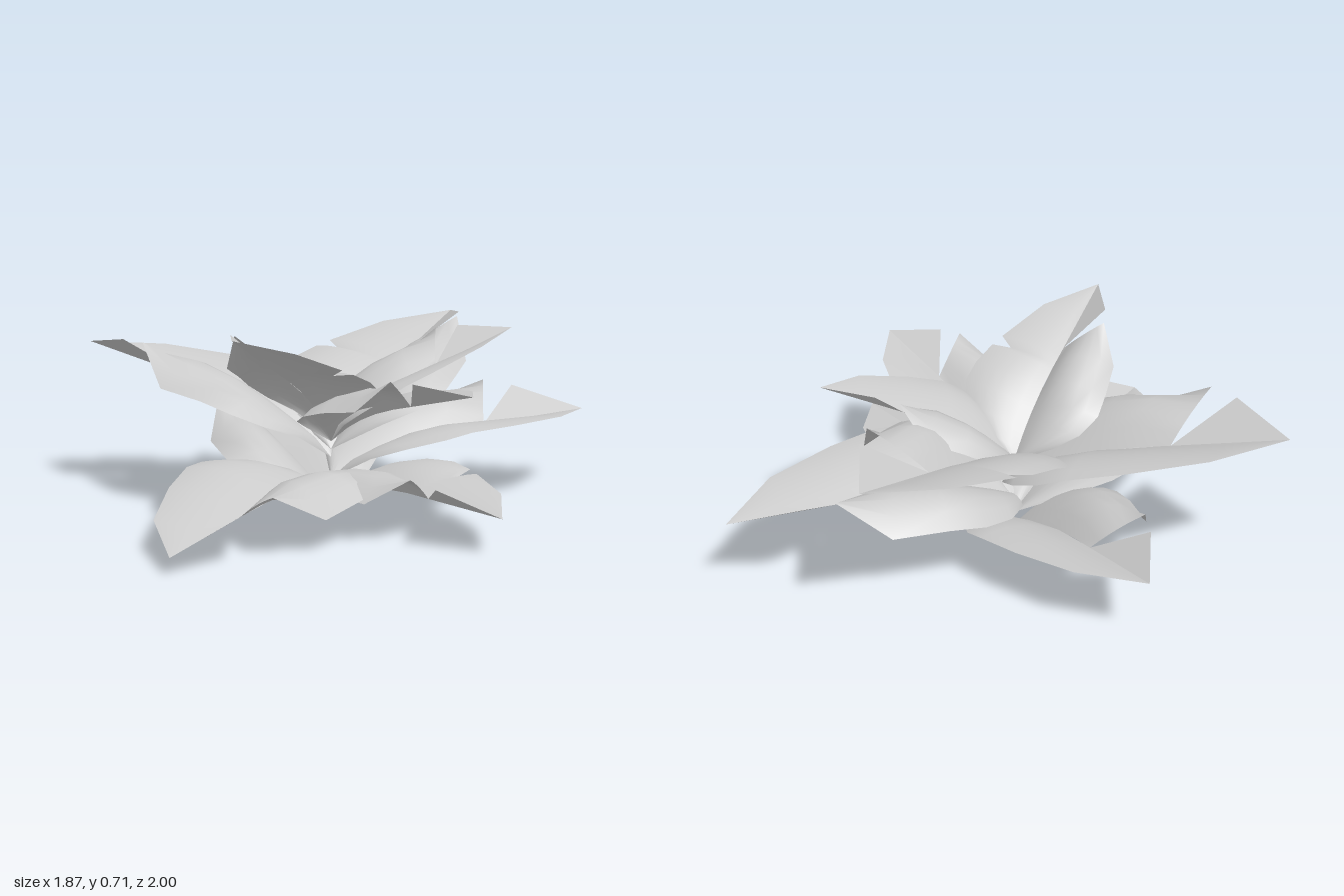
import * as THREE from 'three';

// Height of the midrib above its chord, per unit leaf length
const BOW = [[0, 0], [0.1, 0.03], [0.22, 0.05], [0.4, 0.06], [0.6, 0.04], [1, 0]];
function bow(u) {
  let i = 1;
  while (i < BOW.length - 1 && BOW[i][0] < u) i++;
  const [a, ha] = BOW[i - 1], [b, hb] = BOW[i];
  return ha + (hb - ha) * (u - a) / (b - a);
}

// Cross-sections of the leaf halves:
// [midrib u, edge u, edge half-width, height halfway out, height at the edge]
const WHOLE_BASE = [[0, 0, 0, 0, 0], [0.05, 0.07, 0.19, 0.075, 0.085], [0.14, 0.16, 0.29, 0.11, 0.115],
  [0.25, 0.28, 0.34, 0.13, 0.125], [0.37, 0.38, 0.335, 0.125, 0.125]];
const WHOLE_TIP = [[0.56, 0.56, 0.288, 0.09, 0.095], [0.8, 0.8, 0.188, 0.04, 0.05], [1, 1, 0, 0, 0]];
const WHOLE = [...WHOLE_BASE, ...WHOLE_TIP];
// Same half with a small nick in its edge
const NICKED = [...WHOLE_BASE, [0.47, 0.5, 0.31, 0.105, 0.105], [0.5, 0.515, 0.225, 0.085, 0.085], ...WHOLE_TIP];
// Half that bulges, curls down at the edge and ends early in a slanted tear
const TORN = [[0, 0, 0, 0, 0], [0.05, 0.07, 0.19, 0.075, 0.08], [0.14, 0.16, 0.29, 0.115, 0.095],
  [0.24, 0.27, 0.335, 0.145, 0.1], [0.35, 0.39, 0.32, 0.16, 0.09],
  [0.48, 0.56, 0.28, 0.155, 0.055], [0.6, 0.72, 0.185, 0.1, 0.145]];
// Flap beyond the tear
const FLAP = [[0.6, 0.6, 0, 0.04, 0.04], [0.8, 0.81, 0.145, 0.065, 0.11], [1, 1, 0, 0, 0]];

const material = new THREE.MeshStandardMaterial({ color: 0xcccccc, side: THREE.DoubleSide });

// Curved strip between midrib and edge; side is +1 or -1 across the leaf
function leafHalf(rows, side, length, name) {
  const pos = [], index = [], N = 6;
  rows.forEach(([mu, eu, ev, mid, edge], r) => {
    for (let k = 0; k <= N; k++) {
      const t = k / N;
      const h = bow(mu) * (1 - t) * (1 - 2 * t) + mid * 4 * t * (1 - t) + edge * t * (2 * t - 1);
      pos.push((mu + (eu - mu) * t) * length, h * length, side * ev * t * length);
      if (r && k) {
        const d = r * (N + 1) + k, b = d - N - 1;
        index.push(b - 1, d - 1, d, b - 1, d, b);
      }
    }
  });
  const g = new THREE.BufferGeometry();
  g.setAttribute('position', new THREE.Float32BufferAttribute(pos, 3));
  g.setIndex(index);
  g.computeVertexNormals();
  const mesh = new THREE.Mesh(g, material);
  mesh.name = name;
  return mesh;
}

// Leaf running from a base point to a tip point
function leaf(name, base, tip, nicked) {
  const a = new THREE.Vector3(...base), d = new THREE.Vector3(...tip).sub(a);
  const length = d.length(), side = nicked ? -1 : 1;
  const group = new THREE.Group();
  group.name = name;
  group.add(
    leafHalf(nicked ? NICKED : WHOLE, side, length, 'wholeHalf'),
    leafHalf(TORN, -side, length, 'tornHalf'),
    leafHalf(FLAP, -side, length, 'tipFlap'));
  group.position.copy(a);
  group.rotation.set(0, Math.atan2(-d.z, d.x), Math.atan2(d.y, Math.hypot(d.x, d.z)), 'YZX');
  return group;
}

export function createModel() {
  const plant = new THREE.Group();
  plant.name = 'leafRosette';
  // Name, base height, tip, nicked (mirrored) leaf
  const leaves = [
    ['lowerBackLeaf', 0, [-0.54, 0.25, -0.73], false],
    ['lowerFrontLeaf', 0.05, [-0.2, 0.06, 1.0], false],
    ['lowerSideLeaf', 0.04, [0.8, 0.13, 0.5], true],
    ['middleBackLeaf', 0.11, [0.935, 0.295, -0.75], false],
    ['middleSideLeaf', 0.19, [-0.935, 0.57, -0.23], false],
    ['upperBackLeaf', 0.22, [0.36, 0.64, -1.0], true],
    ['innerSideLeaf', 0.25, [0.68, 0.52, 0.4], true],
    ['innerBackLeaf', 0.25, [0.7, 0.66, -0.37], false],
    ['innerFrontLeaf', 0.27, [-0.11, 0.71, 0.59], true],
  ];
  for (const [name, y, tip, nicked] of leaves) plant.add(leaf(name, [0.075, y, -0.07], tip, nicked));
  return plant;
}
